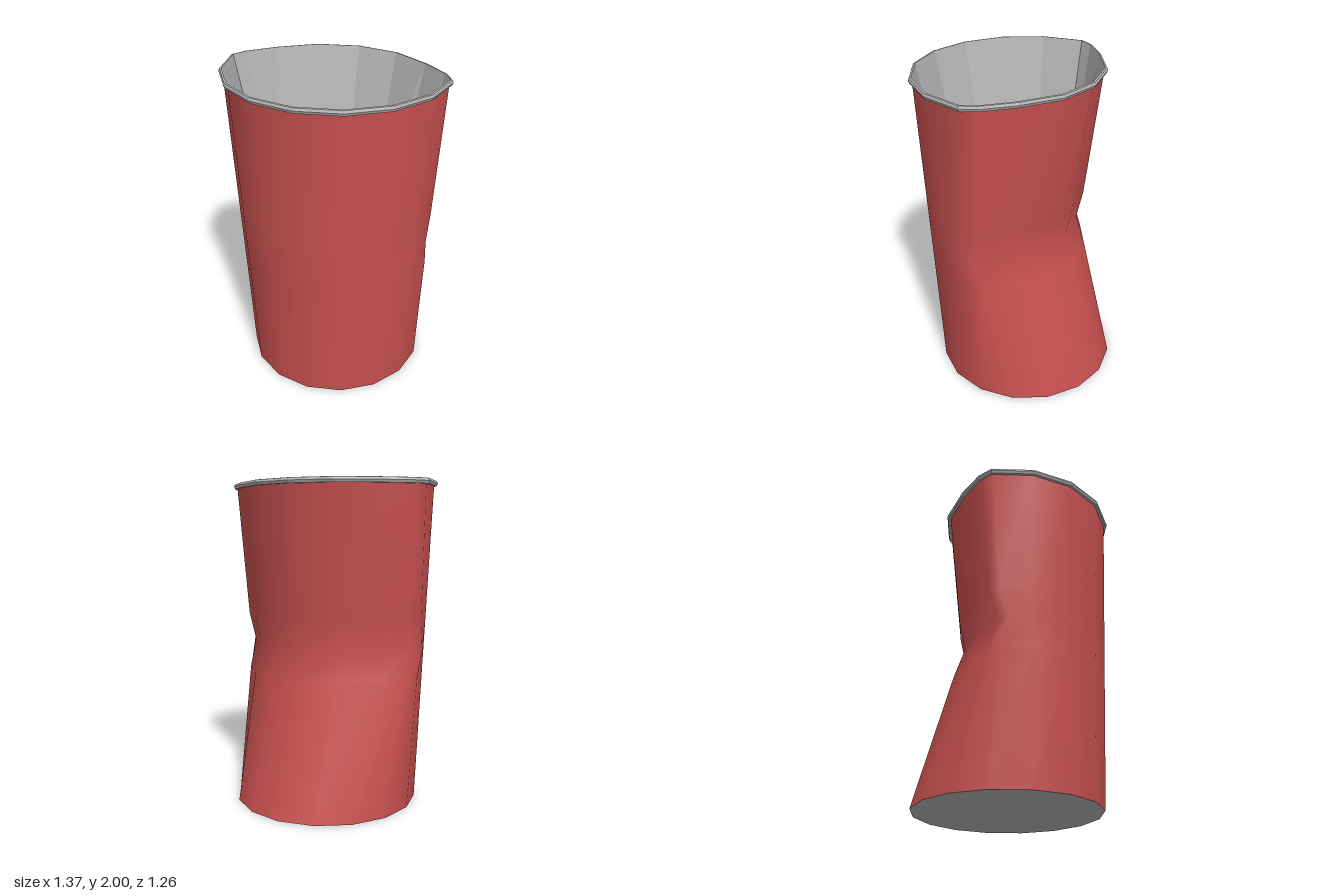
import * as THREE from 'three';

const SIDES = 16;
const CENTRE_Z = -0.055;

// One cross-section: a circle whose back half is pushed forward by the dent;
// push lists the shift of each column, counted in steps from the back to the side
function ring(radius, y, push) {
  const points = [];
  for (let i = 0; i < SIDES; i++) {
    const a = (i / SIDES) * Math.PI * 2;
    const shift = push[Math.abs(i - SIDES / 2)] ?? 0;
    points.push([radius * Math.sin(a), y, CENTRE_Z + radius * Math.cos(a) + shift]);
  }
  return points;
}

// Skin a list of rings; rings going up face outward
function loft(rings, smooth) {
  const index = [];
  for (let j = 0; j < rings.length - 1; j++) {
    for (let i = 0; i < SIDES; i++) {
      const n = (i + 1) % SIDES;
      const a = j * SIDES + i, b = j * SIDES + n;
      const c = a + SIDES, d = b + SIDES;
      index.push(a, b, d, a, d, c);
    }
  }
  return finish(rings.flat(2), index, smooth);
}

// Flat disc filling one ring
function cap(points, up) {
  const index = [];
  const centre = [0, points[0][1], 0.05];
  for (let i = 0; i < SIDES; i++) {
    const n = (i + 1) % SIDES;
    index.push(SIDES, up ? i : n, up ? n : i);
  }
  return finish([...points.flat(), ...centre], index, true);
}

function finish(positions, index, smooth) {
  let geometry = new THREE.BufferGeometry();
  geometry.setAttribute('position', new THREE.Float32BufferAttribute(positions, 3));
  geometry.setIndex(index);
  if (!smooth) geometry = geometry.toNonIndexed();
  geometry.computeVertexNormals();
  return geometry;
}

export function createModel() {
  const group = new THREE.Group();
  const red = new THREE.MeshStandardMaterial({ color: 0xc85050 });
  red.name = 'red';
  const grey = new THREE.MeshStandardMaterial({ color: 0xb4b4b4 });
  grey.name = 'grey';

  const add = (name, geometry, material) => {
    const mesh = new THREE.Mesh(geometry, material);
    mesh.name = name;
    group.add(mesh);
  };

  // Tapered outer wall with a crease halfway up the back, wrapping onto the sides
  const topPush = [0.253, 0.253, 0.253, 0.17];
  const wall = [
    [0, []],
    [0.8, [0.266, 0.266, 0.266, 0.2, 0.04]],
    [0.98, [0.34, 0.34, 0.34, 0.28, 0.1]],
    [1.16, [0.308, 0.308, 0.3, 0.22, 0.05]],
    [1.98, topPush],
  ];
  const outer = wall.map(([y, push]) => ring(0.575 + 0.0455 * y, y, push));
  add('outerWall', loft(outer, true), red);

  // Underside
  add('base', cap(outer[0], false), grey);

  // Rolled rim: [radius, height]
  const rim = [[0.66, 1.967], [0.68, 1.967], [0.687, 1.983], [0.681, 1.998], [0.67, 2]];
  add('rim', loft(rim.map(([r, y]) => ring(r, y, topPush)), false), grey);

  // Faceted inside, running from the rim down to the floor
  const floor = ring(0.495, 1.12, [0.295, 0.295, 0.235, 0.13]);
  add('innerWall', loft([ring(0.67, 2, topPush), floor], false), grey);
  add('innerFloor', cap(floor, true), grey);

  return group;
}
